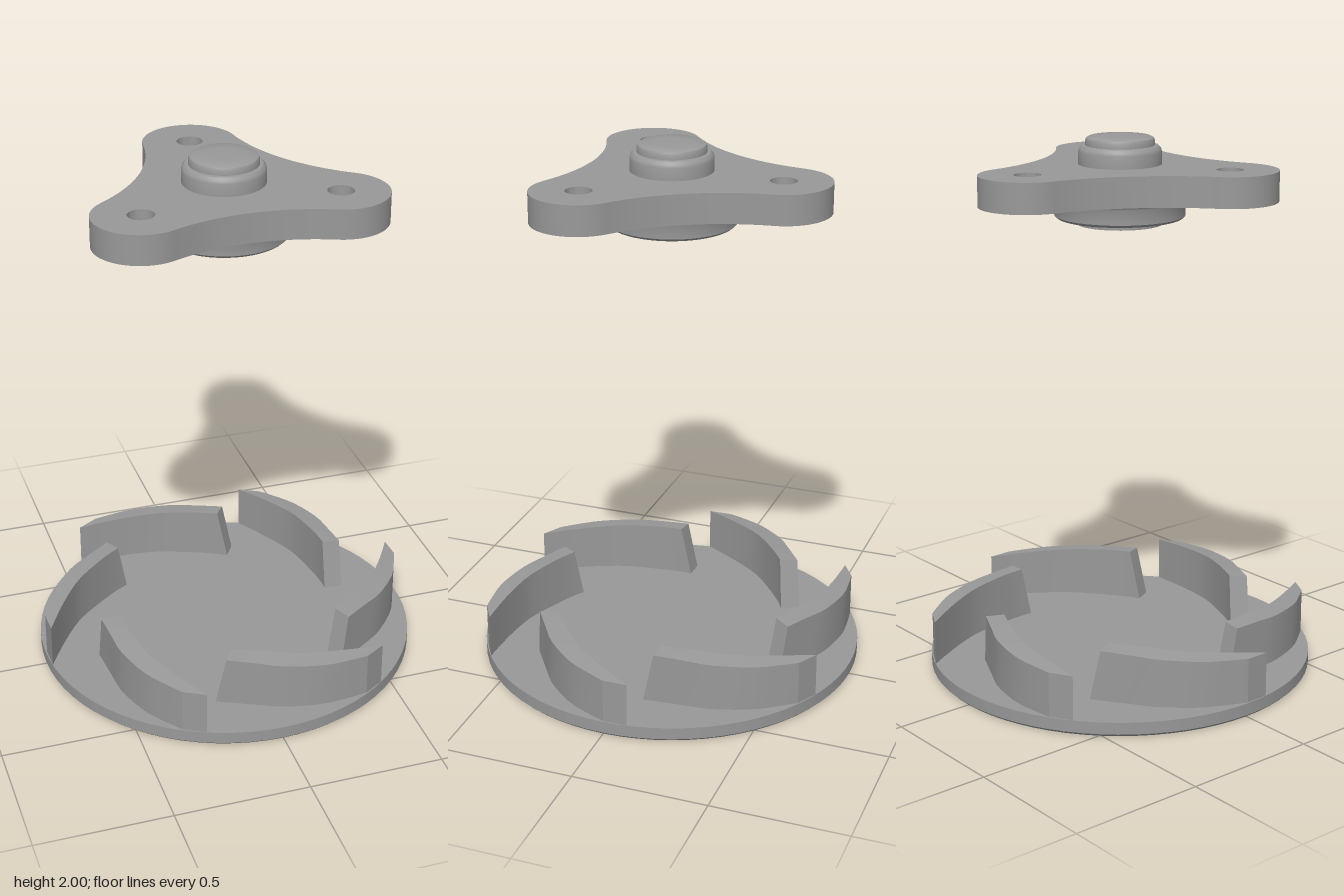
import * as THREE from 'three';
import { toCreasedNormals } from 'three/addons/utils/BufferGeometryUtils.js';

const steel = new THREE.MeshStandardMaterial({ color: 0x999999 });
steel.name = 'grey metal';

const rad = THREE.MathUtils.degToRad;

function part(name, geometry) {
  const mesh = new THREE.Mesh(geometry, steel);
  mesh.name = name;
  return mesh;
}

// Turned part from [radius, height] pairs, listed from bottom to top
function turned(points, segments = 48) {
  const profile = points.map(([r, y]) => new THREE.Vector2(r, y));
  return toCreasedNormals(new THREE.LatheGeometry(profile, segments), 0.6);
}

const curve = (points) => new THREE.SplineCurve(points.map(([x, z]) => new THREE.Vector2(x, z)));

// Curved vane: a subdivided box bent between an inner and an outer wall line
function vaneGeometry() {
  const inner = curve([[-0.154, 0.436], [-0.085, 0.475], [0.08, 0.54], [0.17, 0.56], [0.3, 0.57], [0.436, 0.571]]);
  const outer = curve([[-0.193, 0.498], [-0.054, 0.564], [0.04, 0.606], [0.18, 0.633], [0.274, 0.629], [0.359, 0.618]]);
  const geometry = new THREE.BoxGeometry(1, 1, 1, 12, 1, 1);
  const pos = geometry.attributes.position;
  for (let i = 0; i < pos.count; i++) {
    const u = pos.getX(i) + 0.5;
    const top = pos.getY(i) > 0;
    // The leading end leans back toward the top
    const t = Math.min(1, Math.max(0, top ? u + 0.07 * (1 - u) : u));
    const p = (pos.getZ(i) > 0 ? outer : inner).getPointAt(t);
    // The top edge falls away toward the rim
    const y = top ? 0.25 - 0.13 * Math.max(0, p.length() - 0.5) : 0.05;
    pos.setXYZ(i, p.x, y, p.y);
  }
  geometry.computeVertexNormals();
  return geometry;
}

// Three-lobed plate: round tips joined by tangent concave arcs
function spiderGeometry() {
  const tipAt = 0.413, tipR = 0.174, hollowAt = 1.02;
  const dx = hollowAt * Math.cos(rad(60)) - tipAt;
  const dy = hollowAt * Math.sin(rad(60));
  const beta = Math.atan2(dy, dx);
  const hollowR = Math.hypot(dx, dy) - tipR;
  const shape = new THREE.Shape();
  for (let k = 0; k < 3; k++) {
    const a = rad(90 + 120 * k);
    const cx = tipAt * Math.cos(a), cy = tipAt * Math.sin(a);
    shape.absarc(cx, cy, tipR, a - beta, a + beta, false);
    const m = a + rad(60);
    shape.absarc(hollowAt * Math.cos(m), hollowAt * Math.sin(m), hollowR,
      a + beta + Math.PI, a + rad(120) - beta + Math.PI, true);
    const hole = new THREE.Path();
    hole.absarc(cx, cy, 0.048, 0, Math.PI * 2, true);
    shape.holes.push(hole);
  }
  const geometry = new THREE.ExtrudeGeometry(shape, { depth: 0.11, bevelEnabled: false, curveSegments: 20 });
  geometry.rotateX(-Math.PI / 2);
  geometry.translate(0, 1.79, 0);
  return toCreasedNormals(geometry, 0.6);
}

export function createModel() {
  const model = new THREE.Group();
  model.name = 'impellerAssembly';

  // Lower impeller: disc with six vanes
  const impeller = new THREE.Group();
  impeller.name = 'impeller';
  impeller.add(part('baseDisc', turned(
    [[0, 0], [0.71, 0], [0.72, 0.01], [0.72, 0.055], [0, 0.055]], 72)));
  const vane = vaneGeometry();
  for (let i = 0; i < 6; i++) {
    const blade = part('vane', vane);
    blade.rotation.y = (i * Math.PI) / 3;
    impeller.add(blade);
  }
  model.add(impeller);

  // Upper carrier: three-lobed plate with hubs above and below
  const carrier = new THREE.Group();
  carrier.name = 'carrier';
  carrier.add(part('spiderPlate', spiderGeometry()));
  carrier.add(part('upperHub', turned([
    [0.15, 1.9], [0.15, 1.945], [0.147, 1.957], [0.138, 1.966], [0.12, 1.968]])));
  carrier.add(part('hubCap', turned([
    [0.125, 1.966], [0.125, 1.984], [0.121, 1.993], [0.112, 1.998], [0.06, 2], [0, 2]])));
  // Stepped lower hub with an open bore
  carrier.add(part('lowerHub', turned([
    [0, 1.745], [0.142, 1.745], [0.142, 1.685], [0.157, 1.685], [0.157, 1.708],
    [0.228, 1.708], [0.237, 1.717], [0.237, 1.77], [0.242, 1.781], [0.252, 1.79]])));
  model.add(carrier);

  return model;
}
